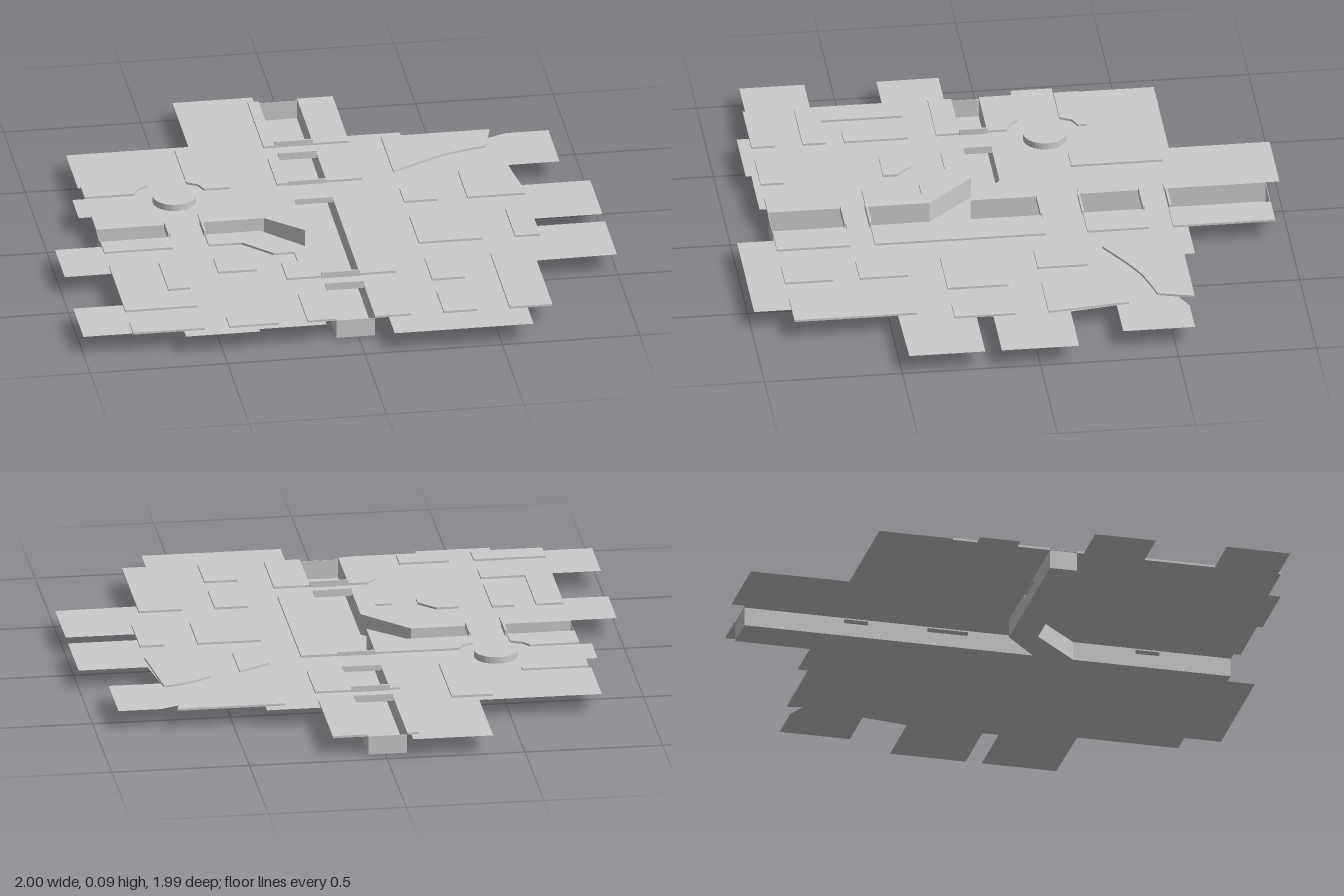
import * as THREE from 'three';

const GROUND = 0.07, PAD_TOP = 0.078, OPENING = 0.05;

export function createModel() {
  const model = new THREE.Group();
  const mat = new THREE.MeshStandardMaterial({ color: 0xcccccc, side: THREE.DoubleSide, flatShading: true });

  const add = (name, geometry, parent = model) => {
    const mesh = new THREE.Mesh(geometry, mat);
    mesh.name = name;
    parent.add(mesh);
    return mesh;
  };
  const group = (name) => {
    const g = new THREE.Group();
    g.name = name;
    model.add(g);
    return g;
  };
  // plan coordinates are [x, z]
  const points = (plan) => plan.map(([x, z]) => new THREE.Vector2(x, z));
  const sheet = (shape, y) => new THREE.ShapeGeometry(shape).rotateX(Math.PI / 2).translate(0, y, 0);
  const rect = (x0, x1, z0, z1) => [[x0, z0], [x1, z0], [x1, z1], [x0, z1]];
  const box = (x0, x1, y0, y1, z0, z1) =>
    new THREE.BoxGeometry(x1 - x0, y1 - y0, z1 - z0).translate((x0 + x1) / 2, (y0 + y1) / 2, (z0 + z1) / 2);
  // smooth run of plan points for curved kerbs
  const curve = (...plan) =>
    new THREE.SplineCurve(points(plan)).getPoints(10).map((p) => [p.x, p.y]);

  // upright strip along a plan path
  function wall(path, y0, y1) {
    const position = [], index = [];
    path.forEach(([x, z], i) => {
      position.push(x, y0, z, x, y1, z);
      if (i) {
        const a = 2 * i - 2;
        index.push(a, a + 2, a + 1, a + 1, a + 2, a + 3);
      }
    });
    const g = new THREE.BufferGeometry();
    g.setAttribute('position', new THREE.Float32BufferAttribute(position, 3));
    g.setIndex(index);
    const flat = g.toNonIndexed();
    flat.computeVertexNormals();
    return flat;
  }

  // Street level sheet with the canal cut out
  const street = new THREE.Shape(points([
    [-0.83, -0.635], [-0.385, -0.635], [-0.385, -1], [-0.095, -1], [-0.095, -0.95], [0.19, -0.95],
    [0.19, -0.635], [0.385, -0.635], [0.385, -0.595], [0.705, -0.595], [0.69, -0.54], [0.76, -0.57],
    [0.915, -0.57], [0.915, -0.31], [0.725, -0.31], [0.75, -0.14], [1, -0.14], [1, 0.14],
    [0.75, 0.14], [0.75, 0.2], [1, 0.2], [1, 0.475], [0.705, 0.48], [0.705, 0.855],
    [0.615, 0.855], [0.615, 0.99], [0.11, 0.99], [0.11, 0.855], [-0.12, 0.855], [-0.12, 0.88],
    [-0.365, 0.88], [-0.365, 0.9], [-0.635, 0.9], [-0.635, 0.855], [-0.82, 0.855], [-0.82, 0.845],
    [-1, 0.845], [-1, 0.61], [-0.82, 0.61], [-0.82, 0.35], [-0.99, 0.35], [-0.99, 0.125],
    [-0.82, 0.125], [-0.82, -0.12], [-0.865, -0.12], [-0.865, -0.27], [-0.82, -0.27],
    [-0.82, -0.36], [-0.83, -0.36],
  ]));
  const canal = [
    [-0.08, -0.948], [0.06, -0.948], [0.06, 0.853], [-0.08, 0.853], [-0.08, 0.27], [-0.24, 0.1],
    [-0.818, 0.1], [-0.818, 0], [-0.21, 0], [-0.08, 0.12],
  ];
  street.holes.push(new THREE.Path(points(canal)));
  add('street', sheet(street, GROUND));

  // Canal floor and walls, with the wall tops left open beneath the bridges
  const canalParts = group('canal');
  add('canalFloor', sheet(new THREE.Shape(points(canal)), 0), canalParts);
  add('canalLowerWall', wall([...canal, canal[0]], 0, OPENING), canalParts);
  const upperRuns = [
    [[-0.08, -0.58], [-0.08, -0.948], [0.06, -0.948], [0.06, -0.58]],
    [[0.06, -0.49], [0.06, -0.27]],
    [[-0.08, -0.27], [-0.08, -0.49]],
    [[0.06, -0.12], [0.06, 0.5]],
    [[0.06, 0.59], [0.06, 0.853], [-0.08, 0.853], [-0.08, 0.59]],
    [[-0.08, 0.5], [-0.08, 0.27], [-0.24, 0.1], [-0.44, 0.1]],
    [[-0.57, 0.1], [-0.818, 0.1], [-0.818, 0], [-0.57, 0]],
    [[-0.44, 0], [-0.21, 0], [-0.08, 0.12], [-0.08, -0.12]],
  ];
  for (const run of upperRuns) add('canalUpperWall', wall(run, OPENING, GROUND), canalParts);

  // Bridges: thin deck and two parapets
  const bridges = group('bridges');
  const PARAPET = 0.008;
  for (const [z0, z1, top] of [[-0.585, -0.49, 0.092], [-0.27, -0.12, 0.086], [0.5, 0.59, 0.092]]) {
    add('bridgeDeck', box(-0.08, 0.06, 0.065, GROUND, z0, z1), bridges);
    for (const z of [z0, z1])
      add('parapet', box(-0.08, 0.06, 0.065, top, z - PARAPET / 2, z + PARAPET / 2), bridges);
  }
  add('bridgeDeck', box(-0.57, -0.44, 0.065, GROUND, 0, 0.1), bridges);
  for (const x of [-0.57, -0.44])
    add('parapet', box(x - PARAPET / 2, x + PARAPET / 2, 0.065, 0.092, 0, 0.1), bridges);

  // Raised quays and pavements
  const raised = (name, plans) => {
    const g = group(name + 's');
    for (const plan of plans) {
      const geometry = new THREE.ExtrudeGeometry(new THREE.Shape(points(plan)), {
        depth: PAD_TOP - GROUND, bevelEnabled: false,
      });
      add(name, geometry.rotateX(Math.PI / 2).translate(0, PAD_TOP, 0), g);
    }
  };
  raised('quay', [
    rect(0.06, 0.19, -0.95, -0.58),
    rect(0.06, 0.19, -0.49, -0.27),
    rect(0.06, 0.19, -0.12, 0.5),
    rect(0.06, 0.19, 0.59, 0.855),
    rect(-0.12, -0.08, -0.95, -0.58),
    rect(-0.12, -0.08, -0.49, -0.27),
    [[-0.385, -0.12], [-0.08, -0.12], [-0.08, 0.12], [-0.21, 0], [-0.44, 0], [-0.44, -0.07], [-0.4, -0.09]],
    [[-0.44, 0.1], [-0.24, 0.1], [-0.08, 0.27], [-0.08, 0.5], [-0.205, 0.5], [-0.205, 0.365],
      [-0.145, 0.365], [-0.145, 0.29], [-0.22, 0.29], [-0.32, 0.185], [-0.44, 0.185]],
    [[-0.15, 0.59], [-0.08, 0.59], [-0.08, 0.855], [-0.185, 0.855], [-0.185, 0.63]],
    rect(-0.82, -0.57, 0.1, 0.185),
    [[-0.82, -0.12], [-0.64, -0.12], [-0.62, -0.09], [-0.575, -0.07], [-0.575, 0], [-0.82, 0]],
  ]);
  raised('pavement', [
    // left side of town
    [[-0.82, -0.36], [-0.58, -0.36], [-0.58, -0.33], [-0.62, -0.31], [-0.64, -0.27], [-0.82, -0.27]],
    [[-0.44, -0.6], [-0.29, -0.6], [-0.29, -0.27], [-0.385, -0.27], [-0.4, -0.31], [-0.44, -0.335]],
    [[-0.82, 0.29], [-0.72, 0.29], [-0.72, 0.585], [-0.56, 0.585], [-0.56, 0.67], [-0.82, 0.67]],
    rect(-0.64, -0.56, 0.29, 0.52),
    [[-0.44, 0.3], [-0.36, 0.3], [-0.3, 0.36], [-0.3, 0.41], [-0.44, 0.41]],
    rect(-0.82, -0.56, 0.77, 0.855),
    rect(-0.47, -0.29, 0.77, 0.855),
    // right side of town
    rect(0.31, 0.43, 0.41, 0.585),
    rect(0.31, 0.43, 0.68, 0.855),
    rect(0.31, 0.54, 0.06, 0.28),
    rect(0.55, 0.705, 0.41, 0.855),
    rect(0.66, 0.75, 0.06, 0.28),
    [[0.43, -0.06], [0.31, -0.06], ...curve([0.31, -0.17], [0.37, -0.21], [0.43, -0.24])],
    [[0.75, -0.06], [0.54, -0.06], ...curve([0.54, -0.28], [0.63, -0.33], [0.72, -0.355])],
    [[0.705, -0.595], [0.31, -0.595], ...curve([0.31, -0.31], [0.5, -0.415], [0.67, -0.465])],
  ]);

  // Roundabout island
  add('roundabout', new THREE.CylinderGeometry(0.078, 0.078, 0.025, 32).translate(-0.505, 0.0825, -0.2));

  return model;
}
